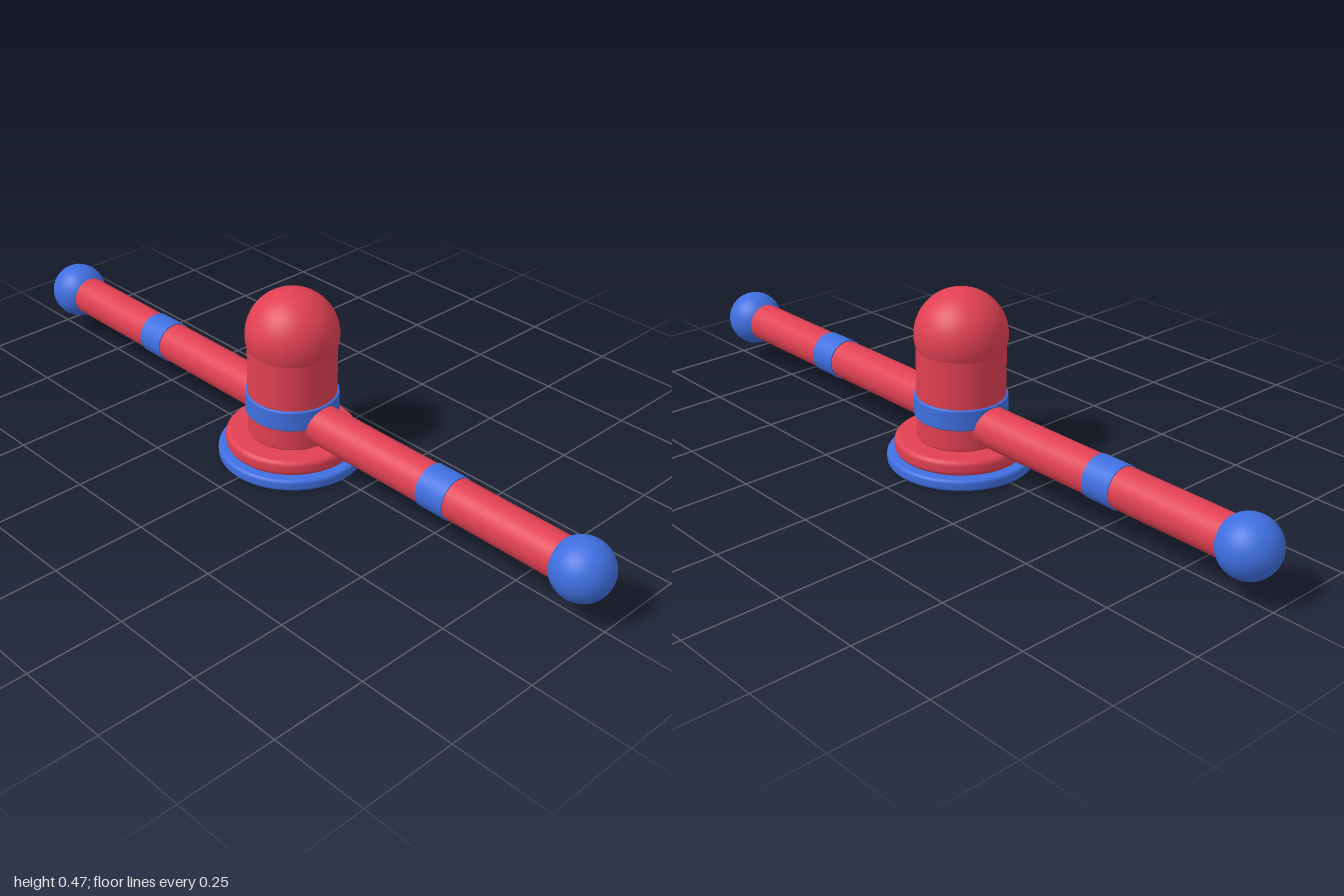
import * as THREE from 'three';

export function createModel() {
  const red = new THREE.MeshStandardMaterial({ name: 'red', color: 0xe04052 });
  const blue = new THREE.MeshStandardMaterial({ name: 'blue', color: 0x3f6fe0 });
  const model = new THREE.Group();
  model.name = 'model';

  function add(name, geometry, material, x = 0, y = 0, parent = model) {
    const mesh = new THREE.Mesh(geometry, material);
    mesh.name = name;
    mesh.position.set(x, y, 0);
    parent.add(mesh);
    return mesh;
  }

  // Upright disc with rounded rims; doubled corner points keep flat caps crisp
  function roundedDisc(radius, y0, y1, bevel) {
    const points = [new THREE.Vector2(0, y0), new THREE.Vector2(radius - bevel, y0)];
    const arc = (cy, start) => {
      for (let i = 0; i <= 5; i++) {
        const a = start + (i / 5) * Math.PI / 2;
        points.push(new THREE.Vector2(radius - bevel + Math.cos(a) * bevel, cy + Math.sin(a) * bevel));
      }
    };
    arc(y0 + bevel, -Math.PI / 2);
    arc(y1 - bevel, 0);
    points.push(new THREE.Vector2(radius - bevel, y1), new THREE.Vector2(0, y1));
    const clean = points.filter((p, i) => i === 0 || p.distanceTo(points[i - 1]) > 1e-6);
    return new THREE.LatheGeometry(clean, 64);
  }

  // Stepped base
  add('basePlate', roundedDisc(0.192, 0, 0.031, 0.009), blue);
  add('baseFlange', roundedDisc(0.172, 0.031, 0.073, 0.014), red);

  // Column, collar and domed head
  add('column', roundedDisc(0.115, 0.07, 0.35, 0.008), red);
  add('collar', roundedDisc(0.121, 0.132, 0.188, 0.004), blue);
  add('dome', new THREE.SphereGeometry(0.12, 48, 32), red, 0, 0.347);

  // Mirrored arms with a band and a ball at the tip
  for (const [side, sign] of [['left', 1], ['right', -1]]) {
    const arm = new THREE.Group();
    arm.name = side + 'Arm';
    arm.position.y = 0.13;
    model.add(arm);
    add(side + 'Rod', new THREE.CylinderGeometry(0.053, 0.053, 0.92, 40), red, sign * 0.46, 0, arm).rotation.z = Math.PI / 2;
    add(side + 'Band', new THREE.CylinderGeometry(0.056, 0.056, 0.082, 40), blue, sign * 0.52, 0, arm).rotation.z = Math.PI / 2;
    add(side + 'Ball', new THREE.SphereGeometry(0.076, 40, 28), blue, sign * 0.924, 0, arm);
  }
  return model;
}
